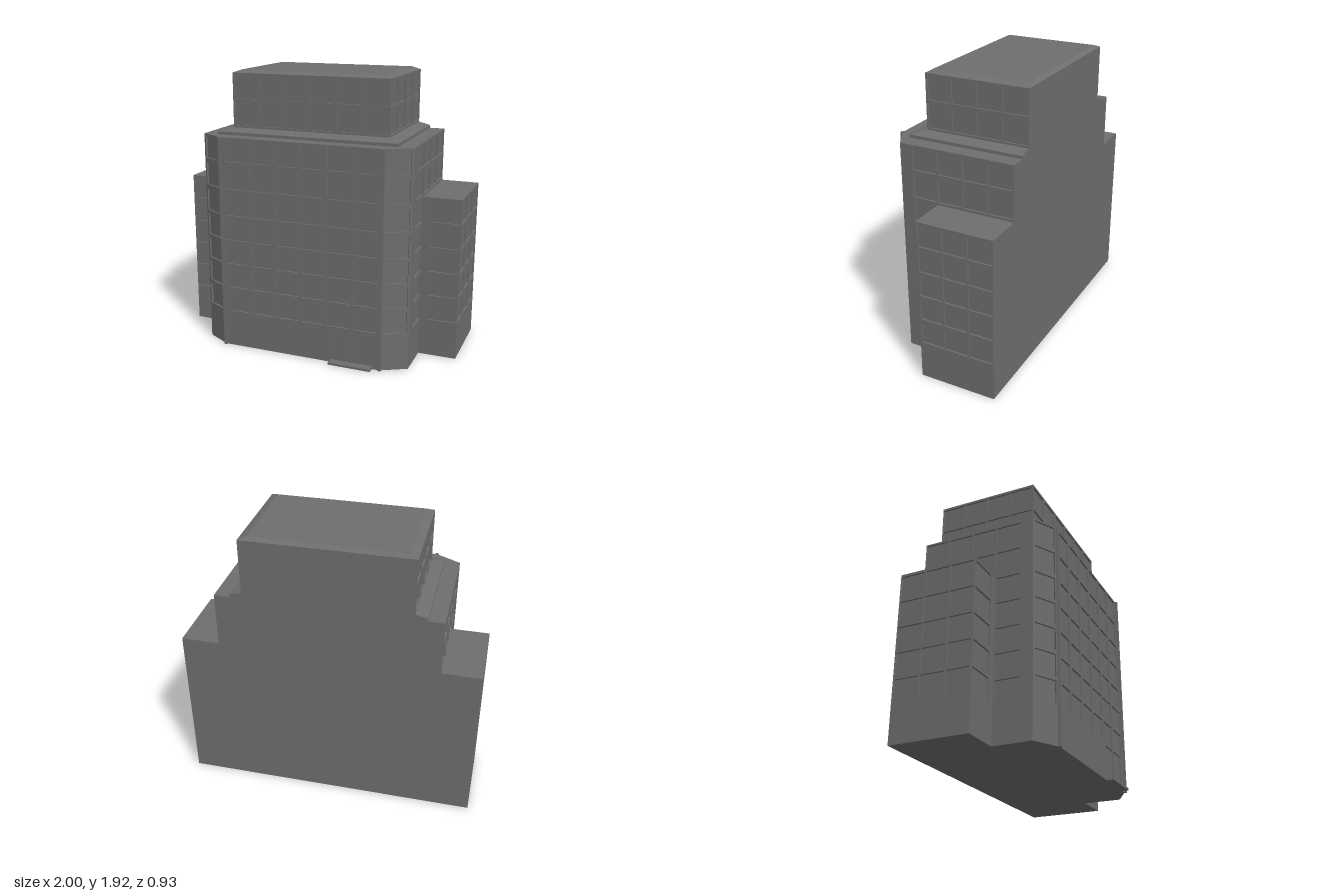
import * as THREE from 'three';

const T = 0.012;      // depth of the window recesses
const BACK = -0.467;  // flat rear face
const mat = new THREE.MeshStandardMaterial({ color: 0x6e6e6e, flatShading: true });

// Window rows [bottom, top]: seven on the main block, two on the tower
const ROWS = [[0.259, 0.405], [0.434, 0.578], [0.606, 0.75], [0.777, 0.926],
  [0.952, 1.104], [1.137, 1.292], [1.324, 1.478]];
const TOWER_ROWS = [[1.544, 1.7], [1.727, 1.884]];
// Window columns: x ranges on the fronts, z ranges on the sides
const FRONT_COLS = [0, 1, 2, 3, 4, 5].map(i => [-0.543 + i * 0.1852, -0.383 + i * 0.1852]);
const SIDE_COLS = [[0.239, 0.071], [0.06, -0.105], [-0.117, -0.283], [-0.294, -0.46]];

const grid = (cols, rows) => cols.flatMap(c => rows.map(r => [...c, ...r]));

export function createModel() {
  const model = new THREE.Group();

  const add = (name, geo) => {
    const mesh = new THREE.Mesh(geo, mat);
    mesh.name = name;
    model.add(mesh);
    return mesh;
  };

  const block = (name, x0, x1, y0, y1, z0, z1) => {
    const geo = new THREE.BoxGeometry(x1 - x0, y1 - y0, z1 - z0);
    geo.translate((x0 + x1) / 2, (y0 + y1) / 2, (z0 + z1) / 2);
    add(name, geo);
  };

  // Box whose top rectangle is smaller than its base; rectangles are [halfX, back, front]
  const taper = (name, base, top, y0, y1) => {
    const geo = new THREE.BoxGeometry(2, 2, 2);
    const p = geo.attributes.position;
    for (let i = 0; i < p.count; i++) {
      const [hx, zb, zf] = p.getY(i) > 0 ? top : base;
      p.setXYZ(i, p.getX(i) * hx, p.getY(i) > 0 ? y1 : y0, p.getZ(i) > 0 ? zf : zb);
    }
    geo.computeVertexNormals();
    add(name, geo);
  };

  // Pierced wall skin from a to b ([x, z], left to right seen from outside);
  // each hole is [u0, u1, y0, y1] with u measured from a
  const wall = (name, a, b, y0, y1, holes) => {
    const dx = b[0] - a[0], dz = b[1] - a[1], len = Math.hypot(dx, dz);
    const rect = (C, u0, u1, v0, v1) => new C([[u0, v0], [u1, v0], [u1, v1], [u0, v1]]
      .map(q => new THREE.Vector2(...q)));
    const shape = rect(THREE.Shape, 0, len, y0, y1);
    for (const h of holes) shape.holes.push(rect(THREE.Path, ...h));
    const geo = new THREE.ExtrudeGeometry(shape, { depth: T, bevelEnabled: false });
    geo.translate(0, 0, -T);
    const mesh = add(name, geo);
    mesh.position.set(a[0], 0, a[1]);
    mesh.rotation.y = Math.atan2(-dz, dx);
  };

  // The same wall on both sides of the building
  const wallPair = (name, a, b, y0, y1, holes) => {
    const len = Math.hypot(b[0] - a[0], b[1] - a[1]);
    wall('left' + name, a, b, y0, y1, holes);
    wall('right' + name, [-b[0], b[1]], [-a[0], a[1]], y0, y1,
      holes.map(([u0, u1, v0, v1]) => [len - u1, len - u0, v0, v1]));
  };

  // Side columns as distances from a wall's front edge, kept clear of the corner
  const sideCols = (front, cols) => cols.map(([z0, z1]) => [Math.max(front - z0, T), front - z1]);

  // Main block: core with chamfered front corners; its faces are the window panes
  const half = [[0.74 - T, BACK], [0.74 - T, 0.32], [0.567, 0.42 - T]];
  const outline = [...half, ...half.map(([x, z]) => [-x, z]).reverse()];
  const core = new THREE.ExtrudeGeometry(
    new THREE.Shape(outline.map(([x, z]) => new THREE.Vector2(x, -z))),
    { depth: 1.49, bevelEnabled: false });
  core.rotateX(-Math.PI / 2);
  add('mainBlockCore', core);

  // Main front with its windows and the double door
  const doors = [[0.22, 0.362, 0.015, 0.24], [0.376, 0.52, 0.015, 0.24]];
  wall('mainFrontWall', [-0.57, 0.42], [0.57, 0.42], 0, 1.49,
    [...grid(FRONT_COLS, ROWS), ...doors].map(([x0, x1, y0, y1]) => [x0 + 0.57, x1 + 0.57, y0, y1]));
  block('doorStep', 0.22, 0.52, 0, 0.015, 0.4, 0.467);

  // Chamfered corners and the main side walls
  wallPair('CornerWall', [0.57, 0.42], [0.74, 0.327], 0, 1.49, grid([[0.02, 0.178]], ROWS));
  wallPair('MainSideWall', [0.74, 0.327], [0.74, BACK], 0, 1.49, [
    ...grid(sideCols(0.327, SIDE_COLS.slice(0, 1)), ROWS),
    ...grid(sideCols(0.327, SIDE_COLS.slice(1)), ROWS.slice(5))]);

  // Slim pilasters beside the front, and the lower side wings
  for (const [side, s] of [['left', 1], ['right', -1]]) {
    block(side + 'Pilaster', s * 0.57 - 0.011, s * 0.57 + 0.011, 0, 1.49, 0.39, 0.434);
    const xs = [s * 0.73, s * (1 - T)].sort((p, q) => p - q);
    block(side + 'WingCore', xs[0], xs[1], 0, 1.12, BACK, 0.064 - T);
  }
  wallPair('WingFrontWall', [0.74, 0.064], [1, 0.064], 0, 1.12, grid([[0.049, 0.248]], ROWS.slice(0, 5)));
  wallPair('WingSideWall', [1, 0.064], [1, BACK], 0, 1.12,
    grid(sideCols(0.064, SIDE_COLS.slice(1)), ROWS.slice(0, 5)));

  // Stepped ledge under the tower
  block('ledge', -0.635, 0.635, 1.485, 1.51, BACK, 0.327);
  taper('ledgeSlope', [0.635, BACK, 0.327], [0.555, BACK, 0.243], 1.51, 1.53);

  // Upper tower with a bevelled roof
  block('towerCore', -0.555 + T, 0.555 - T, 1.52, 1.9, BACK, 0.243 - T);
  wall('towerFrontWall', [-0.555, 0.243], [0.555, 0.243], 1.525, 1.9,
    grid(FRONT_COLS.map(([x0, x1]) => [x0 + 0.555, x1 + 0.555]), TOWER_ROWS));
  wallPair('TowerSideWall', [0.555, 0.243], [0.555, BACK], 1.525, 1.9,
    grid(sideCols(0.243, SIDE_COLS), TOWER_ROWS));
  taper('towerRoof', [0.555, BACK, 0.243], [0.5, -0.44, 0.207], 1.9, 1.92);

  return model;
}
